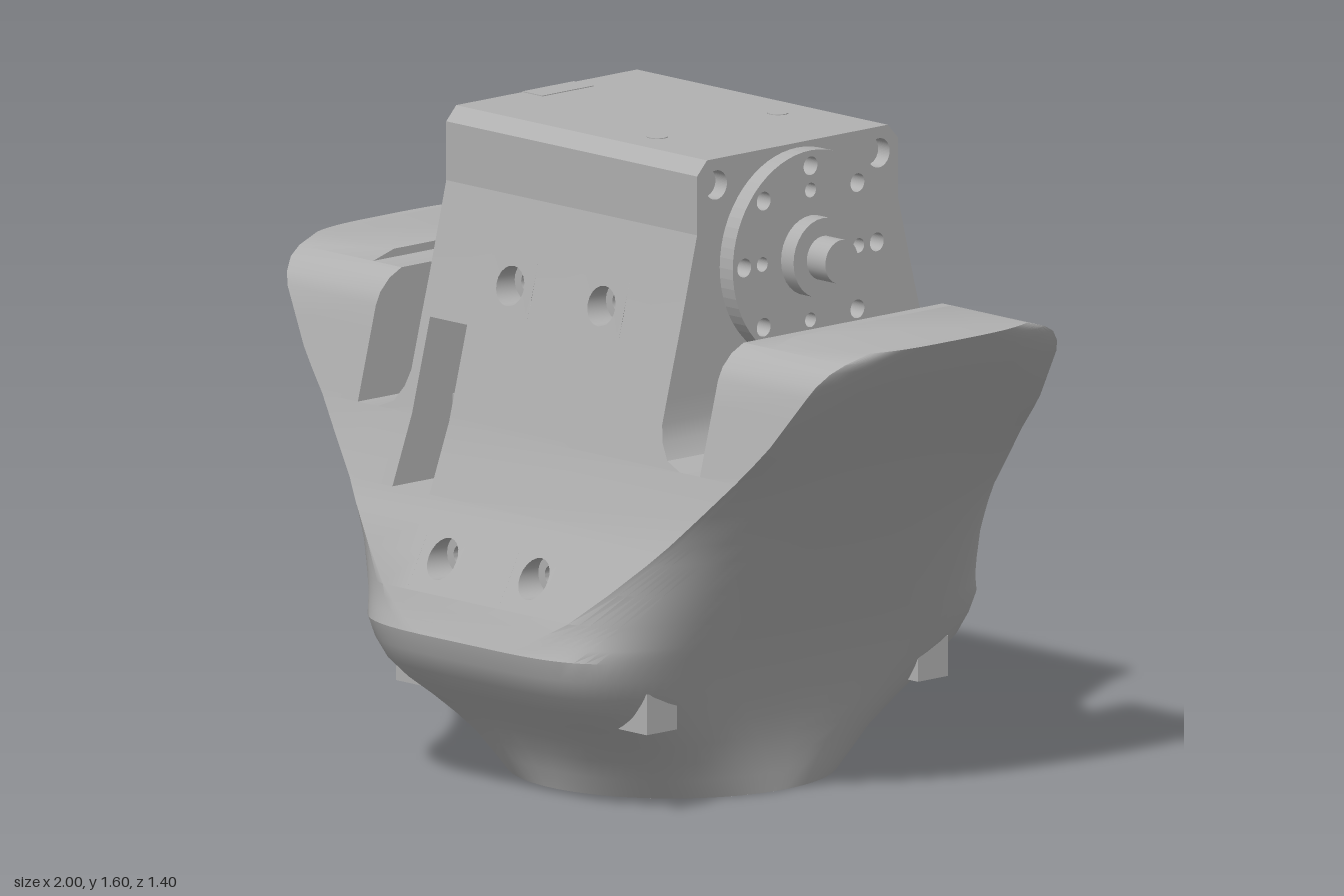
import * as THREE from 'three';
import { toCreasedNormals } from 'three/addons/utils/BufferGeometryUtils.js';

// piecewise-linear function from [y, value] pairs
const curve = (pts) => (y) => {
  let i = 1;
  while (i < pts.length - 1 && y > pts[i][0]) i++;
  const [y0, v0] = pts[i - 1], [y1, v1] = pts[i];
  return v0 + (v1 - v0) * THREE.MathUtils.clamp((y - y0) / (y1 - y0), 0, 1);
};

// body rules: half width, half depth, half width of the flat faces, block width, corner roundness
const halfWidth = curve([[0, 0.4], [0.1, 0.41], [0.2, 0.433], [0.3, 0.466], [0.4, 0.508], [0.6, 0.61], [0.8, 0.728], [1, 0.863], [1.1, 0.935], [1.2, 1]]);
const depth = curve([[0, 0.4], [0.05, 0.422], [0.1, 0.452], [0.15, 0.492], [0.2, 0.545], [0.25, 0.61], [0.3, 0.658], [0.35, 0.687], [0.4, 0.7],
  [0.57, 0.61], [0.7, 0.54], [0.87, 0.475], [1.1, 0.415], [1.2, 0.388], [1.42, 0.333]]);
const roundedTop = curve([[1.1, 0.415], [1.13, 0.4], [1.16, 0.37], [1.18, 0.33], [1.2, 0.26]]);
const wingDepth = (y) => (y < 1.1 ? depth(y) : roundedTop(y));
const flat = curve([[0, 0.02], [0.3, 0.08], [0.4, 0.14], [0.43, 0.22], [0.49, 0.325], [0.55, 0.4], [0.65, 0.51], [0.74, 0.6], [0.96, 0.81], [1.1, 0.91], [1.2, 0.97]]);
const blockWidth = curve([[0.87, 0.53], [0.89, 0.48], [0.93, 0.452], [0.97, 0.44]]);
const power = curve([[0, 2], [0.1, 2.8], [0.2, 3.9], [0.3, 4.5], [0.4, 4.3], [0.7, 3.5]]);

const SLOT = 0.87, STEP = 1.18, TOP = 1.2, WALL = 0.6, STEP_WALL = 0.7, N = 18;
const ROWS = [0, 0.05, 0.1, 0.15, 0.2, 0.25, 0.3, 0.35, 0.4, 0.43, 0.46, 0.49, 0.57, 0.65, 0.7, 0.78, 0.87, 0.89, 0.93, 0.97, 1.03, 1.1,
  1.13, 1.16, STEP, TOP, 1.29, 1.35, 1.42];
const WINDOW = { x0: -0.41, x1: -0.28, y0: 0.7, y1: 1.1 };
const SCREWS = [[-0.16, 0.57], [0.16, 0.57], [-0.16, 1.21], [0.16, 1.21]];
const PAD = 0.08;

// side wall points from x axis to the edge of the flat face
function section(y) {
  const a = halfWidth(y), b = flat(y), n = power(y), f = wingDepth(y);
  const c = f / Math.pow(1 - Math.pow(b / a, n), 1 / n);
  const end = Math.acos(Math.pow(b / a, n / 2));
  return Array.from({ length: N + 1 }, (_, k) => {
    const t = end * k / N;
    return [a * Math.pow(Math.cos(t), 2 / n), y, c * Math.pow(Math.sin(t), 2 / n)];
  });
}

function bodyGeometry() {
  const pos = [];
  // adds a polygon, with its mirror images
  const face = (pts, xs = [1], zs = [1]) => {
    for (const sx of xs) for (const sz of zs) {
      const p = pts.map(([x, y, z]) => [x * sx, y, z * sz]);
      if (sx * sz < 0) p.reverse();
      for (let i = 1; i < p.length - 1; i++) pos.push(...p[0], ...p[i], ...p[i + 1]);
    }
  };
  const both = [1, -1];
  const gaps = [WINDOW, ...SCREWS.map(([x, y]) => ({ x0: x - PAD, x1: x + PAD, y0: y - PAD, y1: y + PAD }))].sort((p, q) => p.x0 - q.x0);

  for (let j = 0; j < ROWS.length - 1; j++) {
    const y0 = ROWS[j], y1 = ROWS[j + 1], slotted = y0 >= SLOT;
    // rounded side walls and inner wing walls
    if (y1 <= TOP) {
      const s = section(y0), u = section(y1);
      for (let k = 0; k < N; k++) face([s[k + 1], s[k], u[k], u[k + 1]], both, both);
      if (slotted) {
        const w = y0 < STEP ? WALL : STEP_WALL;
        const g0 = wingDepth(y0), g1 = wingDepth(y1), b0 = flat(y0), b1 = flat(y1);
        face([[w, y0, -g0], [w, y0, g0], [w, y1, g1], [w, y1, -g1]], both);
        face([[w, y0, g0], [b0, y0, g0], [b1, y1, g1], [w, y1, g1]], both, both);
      }
    }
    // front and back faces, leaving out the window and screw pads
    const edge = slotted ? blockWidth : flat;
    const z0 = depth(y0), z1 = depth(y1), e0 = edge(y0), e1 = edge(y1);
    let left = [-e0, -e1];
    const active = gaps.filter((g) => g.y0 < y0 + 0.001 && g.y1 > y1 - 0.001);
    for (const g of [...active, null]) {
      const right = g ? [g.x0, g.x0] : [e0, e1];
      face([[left[0], y0, z0], [right[0], y0, z0], [right[1], y1, z1], [left[1], y1, z1]], [1], both);
      if (g) left = [g.x1, g.x1];
    }
    if (slotted) face([[e0, y0, z0], [e0, y0, -z0], [e1, y1, -z1], [e1, y1, z1]], both);
    // window side walls
    if (y0 >= WINDOW.y0 && y1 <= WINDOW.y1) {
      face([[WINDOW.x0, y0, z0], [WINDOW.x0, y0, -z0], [WINDOW.x0, y1, -z1], [WINDOW.x0, y1, z1]]);
      face([[WINDOW.x1, y0, -z0], [WINDOW.x1, y0, z0], [WINDOW.x1, y1, z1], [WINDOW.x1, y1, -z1]]);
    }
  }
  // level faces: slot floors, window sill and lintel, wing steps and tops
  const level = (x0, x1, y, z, xs) => face([[x0, y, z], [x1, y, z], [x1, y, -z], [x0, y, -z]], xs);
  level(blockWidth(SLOT), WALL, SLOT, depth(SLOT), both);
  level(WINDOW.x0, WINDOW.x1, WINDOW.y0, depth(WINDOW.y0));
  level(WINDOW.x1, WINDOW.x0, WINDOW.y1, depth(WINDOW.y1));
  level(WALL, STEP_WALL, STEP, wingDepth(STEP), both);
  level(STEP_WALL, flat(TOP), TOP, wingDepth(TOP), both);
  const rim = section(TOP);
  for (let k = 0; k < N; k++) {
    const [p, q] = [rim[k], rim[k + 1]];
    face([p, [p[0], TOP, -p[2]], [q[0], TOP, -q[2]], q], both);
  }
  // screw pads with stepped holes
  for (const [cx, cy] of SCREWS) {
    const pad = new THREE.Shape([[-1, -1], [1, -1], [1, 1], [-1, 1]].map(([i, k]) => new THREE.Vector2(cx + i * PAD, cy + k * PAD)));
    pad.holes.push(new THREE.Path().absarc(cx, cy, 0.048, 0, Math.PI * 2, true));
    const p = new THREE.ShapeGeometry(pad, 10).toNonIndexed().attributes.position;
    for (let i = 0; i < p.count; i += 3) {
      face([0, 1, 2].map((k) => [p.getX(i + k), p.getY(i + k), depth(p.getY(i + k))]), [1], both);
    }
    const steps = [[0.048, 0], [0.048, 0.06], [0.025, 0.06], [0.025, 0.12], [0, 0.12]];
    const at = ([r, d], k) => {
      const y = cy + r * Math.sin(k * Math.PI / 10);
      return [cx + r * Math.cos(k * Math.PI / 10), y, d ? depth(cy) - d : depth(y)];
    };
    for (let s = 0; s < 4; s++) for (let k = 0; k < 20; k++) {
      face([at(steps[s], k), at(steps[s], k + 1), at(steps[s + 1], k + 1), at(steps[s + 1], k)], [1], both);
    }
  }
  const g = new THREE.BufferGeometry();
  g.setAttribute('position', new THREE.Float32BufferAttribute(pos, 3));
  return toCreasedNormals(g, 0.45);
}

export function createModel() {
  const model = new THREE.Group();
  const grey = new THREE.MeshStandardMaterial({ color: 0xb0b0b0, side: THREE.DoubleSide });
  grey.name = 'grey';
  const add = (name, geometry, x = 0, y = 0, z = 0) => {
    const m = new THREE.Mesh(geometry, grey);
    m.name = name;
    m.position.set(x, y, z);
    model.add(m);
    return m;
  };
  const hole = (shape, x, y, r) => shape.holes.push(new THREE.Path().absarc(x, y, r, 0, Math.PI * 2, true));
  const circle = (r) => new THREE.Shape().absarc(0, 0, r, 0, Math.PI * 2, false);
  const extrude = (shape, d) => new THREE.ExtrudeGeometry(shape, { depth: d, bevelEnabled: false, curveSegments: 32 });
  const axle = (name, r, x0, x1) => { add(name, new THREE.CylinderGeometry(r, r, x1 - x0, 32), (x0 + x1) / 2, 1.33).rotation.z = Math.PI / 2; };

  add('body', bodyGeometry());

  // underside ring with bolt holes and central bore
  const base = circle(0.4);
  hole(base, 0, 0, 0.2);
  for (let i = 0; i < 4; i++) {
    const a = Math.PI / 4 + i * Math.PI / 2;
    hole(base, 0.28 * Math.cos(a), 0.28 * Math.sin(a), 0.033);
    add('baseBoltHole', new THREE.CylinderGeometry(0.033, 0.033, 0.1, 16, 1, true), 0.28 * Math.cos(a), 0.05, 0.28 * Math.sin(a));
  }
  add('baseRing', new THREE.ShapeGeometry(base, 32)).rotation.x = Math.PI / 2;
  add('bore', new THREE.CylinderGeometry(0.2, 0.2, 0.3, 40, 1, true), 0, 0.15);
  add('boreEnd', new THREE.CircleGeometry(0.2, 40), 0, 0.3).rotation.x = Math.PI / 2;

  // small corner lugs above the base
  for (const sx of [-1, 1]) for (const sz of [-1, 1]) {
    add('cornerLug', new THREE.BoxGeometry(0.1, 0.1, 0.1), sx * 0.39, 0.262, sz * 0.45);
  }

  // blocks behind the window
  add('innerBlock', new THREE.BoxGeometry(0.08, 0.2, 0.66), -0.32, 1, 0);
  add('innerShelf', new THREE.BoxGeometry(0.13, 0.2, 0.68), -0.345, 0.8, 0);

  // motor housing with chamfered top and corner holes
  const side = new THREE.Shape([[-0.333, 1.4], [0.333, 1.4], [0.333, 1.565], [0.3, 1.6], [-0.3, 1.6], [-0.333, 1.565]].map(([u, v]) => new THREE.Vector2(u, v)));
  for (const s of [-1, 1]) {
    hole(side, s * 0.27, 1.535, 0.036);
    add('cornerScrew', new THREE.CylinderGeometry(0.036, 0.036, 0.8, 20), 0, 1.535, s * 0.27).rotation.z = Math.PI / 2;
    add('topScrew', new THREE.CylinderGeometry(0.026, 0.026, 0.004, 20), 0.16, 1.6, s * 0.2);
  }
  add('motorHousing', extrude(side, 0.88), -0.44).rotation.y = Math.PI / 2;
  add('topPlate', new THREE.BoxGeometry(0.07, 0.004, 0.17), -0.405, 1.6, -0.005);

  // drilled output discs on both sides
  for (const s of [-1, 1]) {
    const disc = circle(0.258);
    for (let i = 0; i < 8; i++) {
      const a = i * Math.PI / 4;
      hole(disc, 0.22 * Math.cos(a), 0.22 * Math.sin(a), 0.023);
      if (i % 2 === 0) hole(disc, 0.16 * Math.cos(a), 0.16 * Math.sin(a), 0.018);
    }
    if (s < 0) hole(disc, 0, 0, 0.125);
    add(s > 0 ? 'outputDisc' : 'idlerDisc', extrude(disc, 0.048), s * 0.438, 1.33).rotation.y = s * Math.PI / 2;
  }
  const idler = circle(0.125);
  hole(idler, 0, 0, 0.08);
  add('idlerRing', extrude(idler, 0.03), -0.438, 1.33).rotation.y = -Math.PI / 2;

  // output boss and shaft
  axle('boss', 0.098, 0.48, 0.53);
  axle('shaft', 0.054, 0.52, 0.595);
  return model;
}
